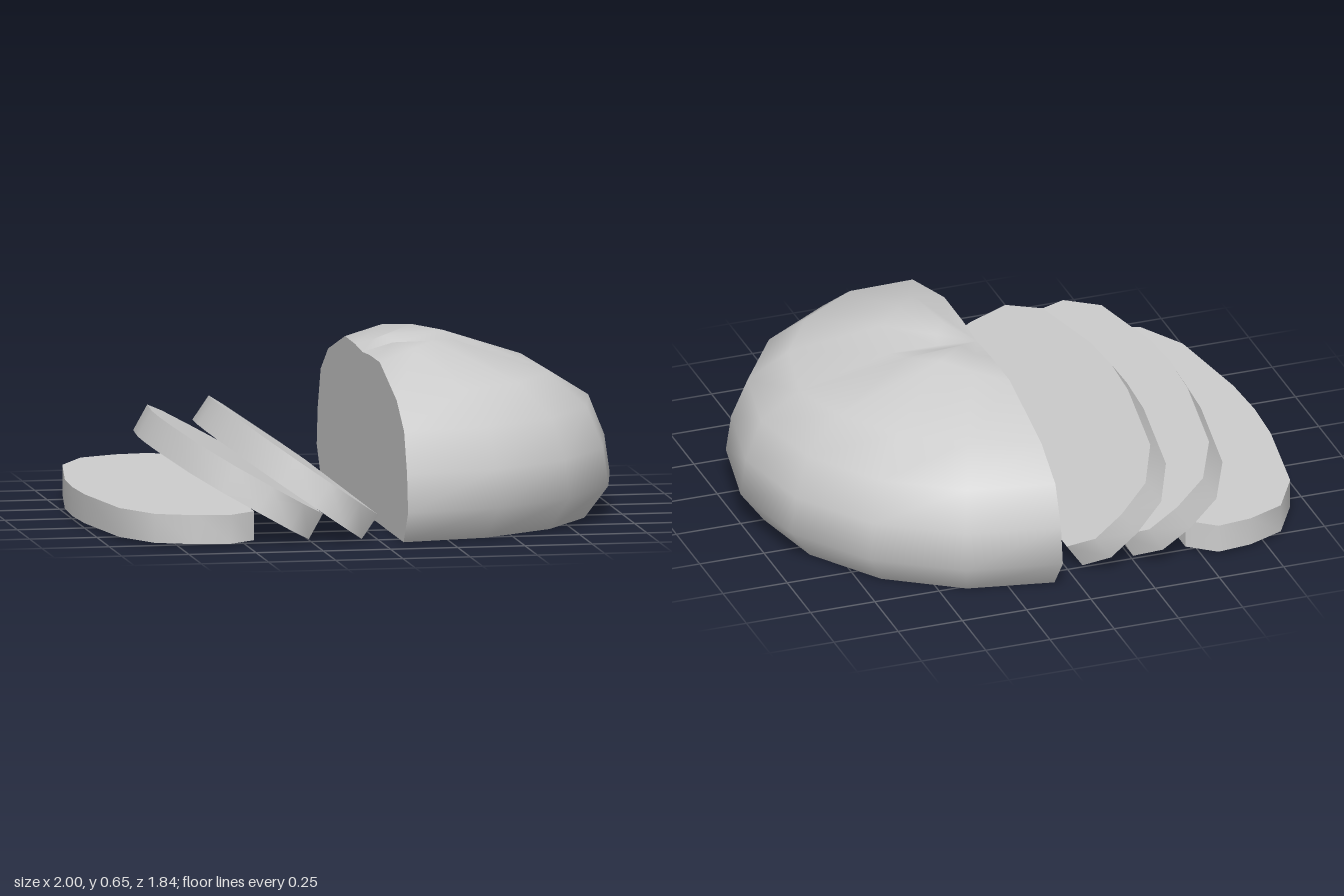
import * as THREE from 'three';
import { mergeVertices, toCreasedNormals } from 'three/addons/utils/BufferGeometryUtils.js';

const crust = new THREE.MeshStandardMaterial({ color: 0xcccccc });
crust.name = 'bread';

const SIDES = 8; // half turn
// rings of the loaf: radius, height, groove depth, bulge between grooves
const RINGS = [
  [0.83, 0, 0, 0], [0.92, 0.12, 0, 0], [0.90, 0.26, 0, 0], [0.84, 0.41, 0, 0],
  [0.69, 0.53, 0.025, 0], [0.35, 0.643, 0.045, 0.012], [0.15, 0.612, 0.015, 0.022], [0, 0.588, 0, 0],
];

// a point of the crust; shallow grooves run along x and along the cut
function loafPoint([r, y, groove, bulge], i) {
  const a = -Math.PI / 2 + (Math.PI * i) / SIDES;
  const h = i % 4 === 0 ? y - groove : i % 4 === 2 ? y + bulge : y;
  const k = bulge && i % 4 === 2 ? r * 0.9 : r;
  return [k * Math.cos(a), h, k * Math.sin(a)];
}

function domeGeometry() {
  const pos = [], idx = [], n = SIDES + 1;
  RINGS.forEach((ring, j) => {
    for (let i = 0; i < n; i++) {
      pos.push(...loafPoint(ring, i));
      if (j === RINGS.length - 1 || i === SIDES) continue;
      const p = j * n + i;
      idx.push(p, p + n, p + 1);
      if (j < RINGS.length - 2) idx.push(p + 1, p + n, p + n + 1);
    }
  });
  let g = new THREE.BufferGeometry();
  g.setAttribute('position', new THREE.Float32BufferAttribute(pos, 3));
  g.setIndex(idx);
  g = mergeVertices(g);
  g.computeVertexNormals();
  return g;
}

// flat face where the loaf was cut
function cutGeometry() {
  const side = RINGS.map((ring) => loafPoint(ring, SIDES));
  const right = side.map(([, y, z]) => new THREE.Vector2(z, y));
  const left = side.slice(0, -1).reverse().map(([, y, z]) => new THREE.Vector2(-z, y));
  return new THREE.ShapeGeometry(new THREE.Shape([...right, ...left])).rotateY(-Math.PI / 2);
}

// slice lying flat, its straight base at x = 0
function sliceGeometry() {
  const half = [[0, 0.745], [-0.10, 0.825], [-0.23, 0.81], [-0.37, 0.75], [-0.47, 0.575], [-0.53, 0.2]];
  const points = [
    ...half.map(([x, z]) => new THREE.Vector2(x, z)),
    new THREE.Vector2(-0.54, 0),
    ...half.slice().reverse().map(([x, z]) => new THREE.Vector2(x, -z)),
  ];
  const g = new THREE.ExtrudeGeometry(new THREE.Shape(points), { depth: 0.107, bevelEnabled: false });
  return toCreasedNormals(g.rotateX(-Math.PI / 2), 0.85);
}

export function createModel() {
  const model = new THREE.Group();
  model.name = 'slicedLoaf';
  const add = (parent, name, geometry) => {
    const mesh = new THREE.Mesh(geometry, crust);
    mesh.name = name;
    parent.add(mesh);
    return mesh;
  };

  // remaining half of the loaf
  const loaf = new THREE.Group();
  loaf.name = 'halfLoaf';
  loaf.position.x = 0.08;
  add(loaf, 'loafCrust', domeGeometry());
  add(loaf, 'loafCutFace', cutGeometry());
  add(loaf, 'loafBase', new THREE.CircleGeometry(0.83, SIDES, -Math.PI / 2, Math.PI).rotateX(Math.PI / 2));
  model.add(loaf);

  // fallen slices: x, y of the lower base edge and tilt
  const slice = sliceGeometry();
  [[-0.46, 0.01, 0], [-0.257, 0.008, -0.513], [-0.06, 0.004, -0.606]].forEach(([x, y, tilt], i) => {
    const mesh = add(model, `slice${i + 1}`, slice);
    mesh.position.set(x, y, 0);
    mesh.rotation.z = tilt;
  });
  return model;
}
